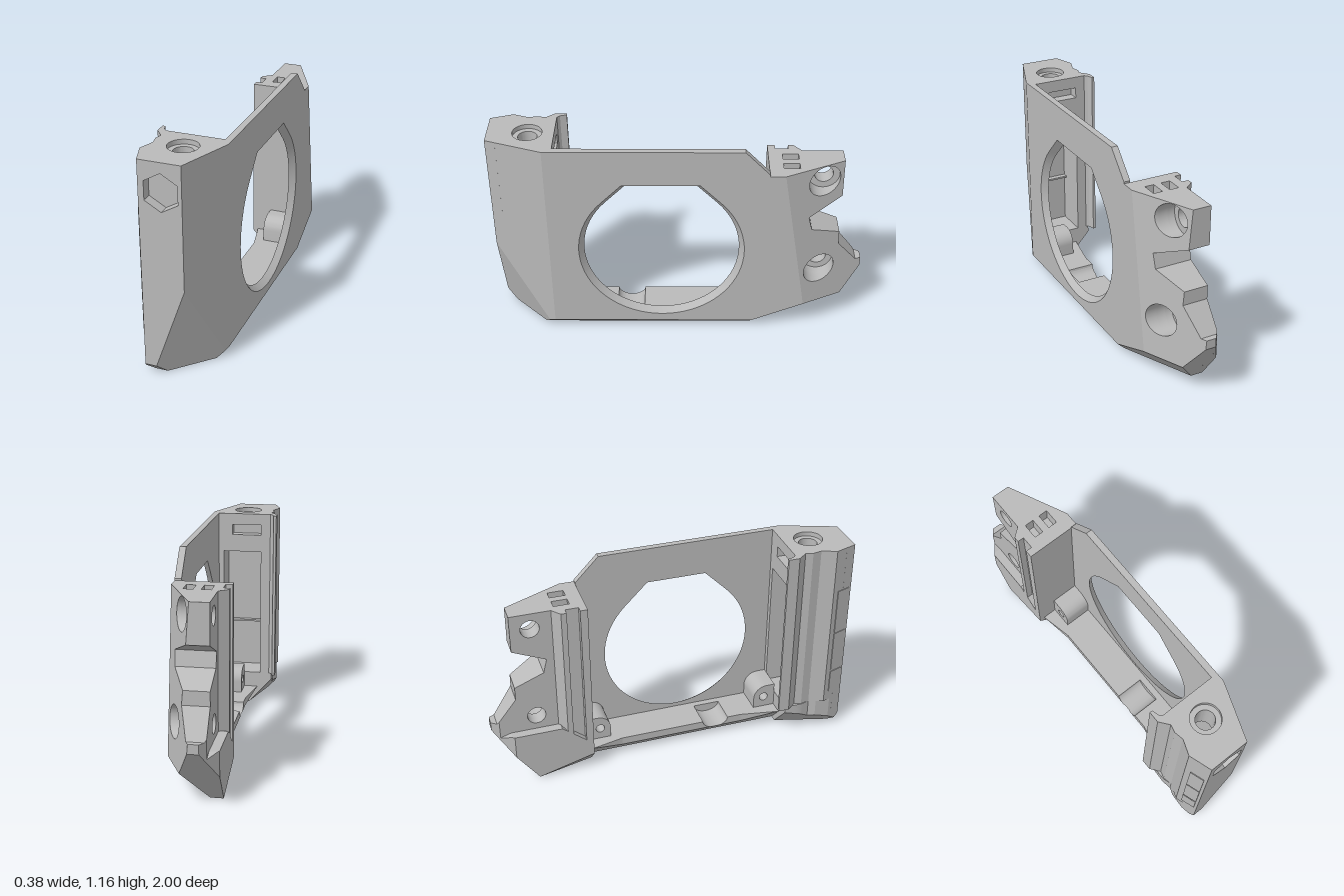
import * as THREE from 'three';
import { toCreasedNormals } from 'three/addons/utils/BufferGeometryUtils.js';

// Planes limiting the outer (+x) side, each x = f(y, z)
const outer = [
  () => 0.19,
  (y, z) => 0.08 + 0.367 * (1 - z),                           // front bevel
  (y, z) => 0.08 + 0.983 * (1 - z) + 0.352 * (y - 0.51),      // lower front corner
  (y) => 0.14 + y,                                            // bottom bevel
  (y, z) => 0.19 + 0.47 * (z + 0.68 - 0.165 * (y - 0.17)),    // rear slant
  (y, z) => 0.19 + 0.476 * (z + 0.4) + 1.11 * (y - 0.05),     // lower rear corner
];
// Planes limiting the inner (-x) side of the foot, nose, floor and rear
const footBevel = (y, z) => -0.03 - 0.28 * (z - 0.65) - 0.9 * y;
const noseBevel = (y, z) => -0.18 + 0.333 * (z - 0.88);
const footInner = [() => -0.165, footBevel, noseBevel];
const noseInner = [footBevel, noseBevel];
const floorInner = [(y) => 0.01 - 0.9 * y];
const rearInner = [() => -0.11, (y, z) => -0.11 - 0.73 * (z + 0.89), (y, z) => -0.03 + 0.25 * (z + 0.46) - 0.9 * y];

// Cut triangles along the plane h(p) = 0
function splitTriangles(tris, h) {
  const out = [];
  for (const t of tris) {
    const d = t.map(h);
    if (d.every((v) => v >= -1e-6) || d.every((v) => v <= 1e-6)) {
      out.push(t);
      continue;
    }
    const sides = [[], []];
    for (let i = 0; i < 3; i++) {
      const j = (i + 1) % 3;
      if (d[i] >= -1e-6) sides[0].push(t[i]);
      if (d[i] <= 1e-6) sides[1].push(t[i]);
      if (Math.abs(d[i]) > 1e-6 && Math.abs(d[j]) > 1e-6 && d[i] * d[j] < 0) {
        const m = t[i].clone().lerp(t[j], d[i] / (d[i] - d[j]));
        sides.forEach((s) => s.push(m));
      }
    }
    for (const s of sides) for (let k = 2; k < s.length; k++) out.push([s[0], s[k - 1], s[k]]);
  }
  return out;
}

// Crease a solid along the plane meetings, then pull it inside the planes;
// parts of a layer lying wholly outside (beyond its start, from) are dropped
function trim(geometry, inner, from) {
  const pos = geometry.toNonIndexed().getAttribute('position');
  let tris = [];
  for (let i = 0; i < pos.count; i += 3) {
    tris.push([0, 1, 2].map((k) => {
      const p = new THREE.Vector3().fromBufferAttribute(pos, i + k);
      p.y = Math.max(p.y, p.z - 0.945);
      return p;
    }));
  }
  for (const set of [outer, inner]) {
    set.forEach((f, i) => {
      tris = splitTriangles(tris, (p) => f(p.y, p.z) - p.x);
      tris = splitTriangles(tris, (p) => f(p.y, p.z) - from);
      for (const g of set.slice(i + 1)) tris = splitTriangles(tris, (p) => f(p.y, p.z) - g(p.y, p.z));
    });
  }
  const high = (p) => Math.min(...outer.map((f) => f(p.y, p.z)));
  const low = (p) => Math.max(-1, ...inner.map((f) => f(p.y, p.z)));
  const kept = tris
    .filter(([a, b, c]) => high(a.clone().add(b).add(c).divideScalar(3)) > from + 1e-6)
    .map((t) => t.map((p) => new THREE.Vector3(Math.max(low(p), Math.min(high(p), p.x)), p.y, p.z)))
    .filter((t) => new THREE.Triangle(...t).getArea() > 1e-9);
  return new THREE.BufferGeometry().setFromPoints(kept.flat());
}

const circle = (a, b, r, n = 40) => Array.from({ length: n }, (_, i) => {
  const t = (i / n) * Math.PI * 2;
  return [a + r * Math.cos(t), b + r * Math.sin(t)];
});

export function createModel() {
  const group = new THREE.Group();
  const material = new THREE.MeshStandardMaterial({ color: 0xbababa });
  material.name = 'plain grey';

  // axis x: points are [z, y]; axis y: points are [x, z]; axis z: points are [x, y]
  function solid(name, axis, points, from, to, { holes = [], inner = [], adjust } = {}) {
    const flip = { x: ([a, b]) => [-a, b], y: ([a, b]) => [a, -b], z: (p) => p }[axis];
    const vec = (list) => {
      const v = list.map((p) => new THREE.Vector2(...flip(p)));
      return THREE.ShapeUtils.isClockWise(v) ? v.reverse() : v;
    };
    const shape = new THREE.Shape(vec(points));
    shape.holes = holes.map((h) => new THREE.Path(vec(h).reverse()));
    const geo = new THREE.ExtrudeGeometry(shape, { depth: to - from, bevelEnabled: false });
    geo.translate(0, 0, from);
    if (axis === 'x') geo.rotateY(Math.PI / 2);
    if (axis === 'y') geo.rotateX(-Math.PI / 2);
    if (adjust) {
      const pos = geo.getAttribute('position');
      for (let i = 0; i < pos.count; i++) {
        const p = new THREE.Vector3().fromBufferAttribute(pos, i);
        adjust(p);
        pos.setXYZ(i, p.x, p.y, p.z);
      }
    }
    const trimmed = trim(geo, inner, axis === 'x' ? from : -1);
    const mesh = new THREE.Mesh(toCreasedNormals(trimmed, 0.3), material);
    mesh.name = name;
    group.add(mesh);
  }

  // Side plate with a round opening, flat at the top and flared outwards
  const opening = [];
  for (let i = 0; i <= 54; i++) {
    const t = Math.PI * (0.75 + (1.5 * i) / 54);
    opening.push([0.1 + 0.415 * Math.cos(t), 0.54 + 0.415 * Math.sin(t)]);
  }
  opening.push([0.265, 0.962], [-0.065, 0.962]);
  const flare = (p) => {
    const dz = p.z - 0.1, dy = p.y - 0.54;
    if (p.x < 0.18 || Math.hypot(dz, dy) > 0.5) return;
    if (p.y > 0.96) p.z += Math.sign(dz) * 0.04;
    else p.set(p.x, 0.54 + dy * 1.067, 0.1 + dz * 1.067);
  };
  solid('sidePlate', 'x', [[0.65, 0], [0.65, 1.165], [-0.33, 1.165], [-0.46, 1.03], [-0.46, 0]], 0.155, 0.19,
    { holes: [opening], adjust: flare });

  // Floor with a scooped channel and tapering ends
  const scoop = Array.from({ length: 13 }, (_, i) => {
    const t = Math.PI * (i / 12);
    return [0.275 + 0.075 * Math.cos(t), 0.1 - 0.05 * Math.sin(t)];
  });
  const low = { inner: floorInner };
  solid('floor', 'x', [[0.65, 0], [0.65, 0.1], ...scoop, [-0.46, 0.1], [-0.46, 0]], -0.04, 0.12, low);
  solid('floorStrip', 'x', [[0.65, 0], [0.65, 0.1], [-0.46, 0.1], [-0.46, 0]], 0.12, 0.155);
  solid('floorFrontTaper', 'y', [[-0.04, 0.43], [-0.04, 0.65], [-0.08, 0.65]], 0, 0.1, low);
  solid('floorRearTaper', 'y', [[-0.04, -0.28], [-0.08, -0.46], [-0.04, -0.46]], 0, 0.1, low);

  // Rounded bosses at both ends of the floor
  for (const [z, s] of [[0.65, -1], [-0.46, 1]]) {
    const round = Array.from({ length: 9 }, (_, i) => {
      const t = (Math.PI / 2) * (i / 8);
      return [z + s * (0.05 + 0.075 * Math.sin(t)), 0.165 + 0.075 * Math.cos(t)];
    });
    solid('boss', 'x', [[z, 0.06], [z, 0.24], ...round, [z + s * 0.125, 0.06]], 0, 0.156,
      { holes: [circle(z + s * 0.065, 0.165, 0.025, 24)] });
  }

  // Front post, stacked from plan slices
  const postFront = [[-0.15, 0.8], [-0.18, 0.88], [-0.158, 0.945], [0.1, 0.945], [0.19, 0.7], [0.19, 0.65]];
  const hook = [[-0.15, 0.65], [-0.165, 0.635], [-0.175, 0.6], [-0.19, 0.6], [-0.19, 0.66], [-0.15, 0.71], [-0.16, 0.75]];
  const notch = (x0, x1, depth) => [[x1, 0.65], [x1, depth], [x0, depth], [x0, 0.65]];
  const post = (cut = []) => [...cut, ...hook, ...postFront];
  const bore = (r) => ({ holes: [circle(0, 0.79, r)] });
  solid('postFoot', 'y', [[-0.165, 0.65], [-0.165, 0.75], ...postFront], 0, 0.19, { inner: footInner });
  solid('postPocket', 'y', post(notch(-0.095, 0.125, 0.83)), 0.19, 0.94);
  solid('postBore', 'y', post(), 0.94, 1.04, bore(0.05));
  solid('postSlot', 'y', post(notch(-0.095, 0.075, 0.71)), 1.04, 1.1, bore(0.05));
  solid('postCap', 'y', post(), 1.1, 1.14, bore(0.05));
  solid('postTop', 'y', post(), 1.14, 1.165, bore(0.078));
  solid('pocketRib', 'y', [[-0.095, 0.8], [0.125, 0.8], [0.125, 0.83], [-0.095, 0.83]], 0.47, 0.48);

  // Nose with a hexagonal nut recess
  const hex = Array.from({ length: 6 }, (_, i) => {
    const t = Math.PI * (i / 3 + 1 / 6);
    return [-0.025 + 0.098 * Math.cos(t), 1.012 + 0.098 * Math.sin(t)];
  });
  solid('nose', 'z', [[-0.2, 0], [0.2, 0], [0.2, 1.165], [-0.2, 1.165]], 0.945, 1, { holes: [hex], inner: noseInner });

  // Thin panels on the inner front bevel
  for (const [y0, y1] of [[0.25, 0.385], [0.4, 0.64], [0.65, 0.91]]) {
    solid('bevelPanel', 'y', [[-0.17, 0.91], [-0.174, 0.911], [-0.149, 0.986], [-0.145, 0.985]], y0, y1);
  }

  // Rear block in layers, with counterbored holes and two slots in the top
  const slot = [[-0.535, 1.02], [-0.535, 0.94], [-0.62, 0.94], [-0.62, 1.02]];
  const rear = [[-0.86, 1.02], [-0.86, 0.81], [-0.68, 0.73], [-0.7, 0.65], [-0.86, 0.585],
    [-0.86, 0.51], [-0.97, 0.37], [-1, 0.37], [-1, 0.32], [-0.77, 0]];
  const layers = [[-0.06, -0.025, 0.05, false], [-0.025, 0.025, 0.05, true], [0.025, 0.065, 0.085, false],
    [0.065, 0.115, 0.085, true], [0.115, 0.19, 0.085, false]];
  for (const [x0, x1, r, slotted] of layers) {
    solid('rearBlock', 'x', [[-0.46, 0], [-0.46, 1.02], ...(slotted ? slot : []), ...rear], x0, x1,
      { holes: [circle(-0.755, 0.93, r), circle(-0.755, 0.385, r)], inner: rearInner });
  }
  solid('rearFoot', 'x', [[-0.46, 0], [-0.46, 0.16], [-0.63, 0.3], [-0.9, 0.3], [-0.97, 0.278], [-0.77, 0]],
    -0.11, -0.06, { inner: rearInner });

  // Grooved rear column
  solid('rearColumn', 'y', [[-0.06, -0.46], [-0.11, -0.46], [-0.11, -0.5], [-0.075, -0.5], [-0.075, -0.57],
    [-0.11, -0.57], [-0.11, -0.6], [-0.06, -0.64]], 0.1, 1.02);

  return group;
}
